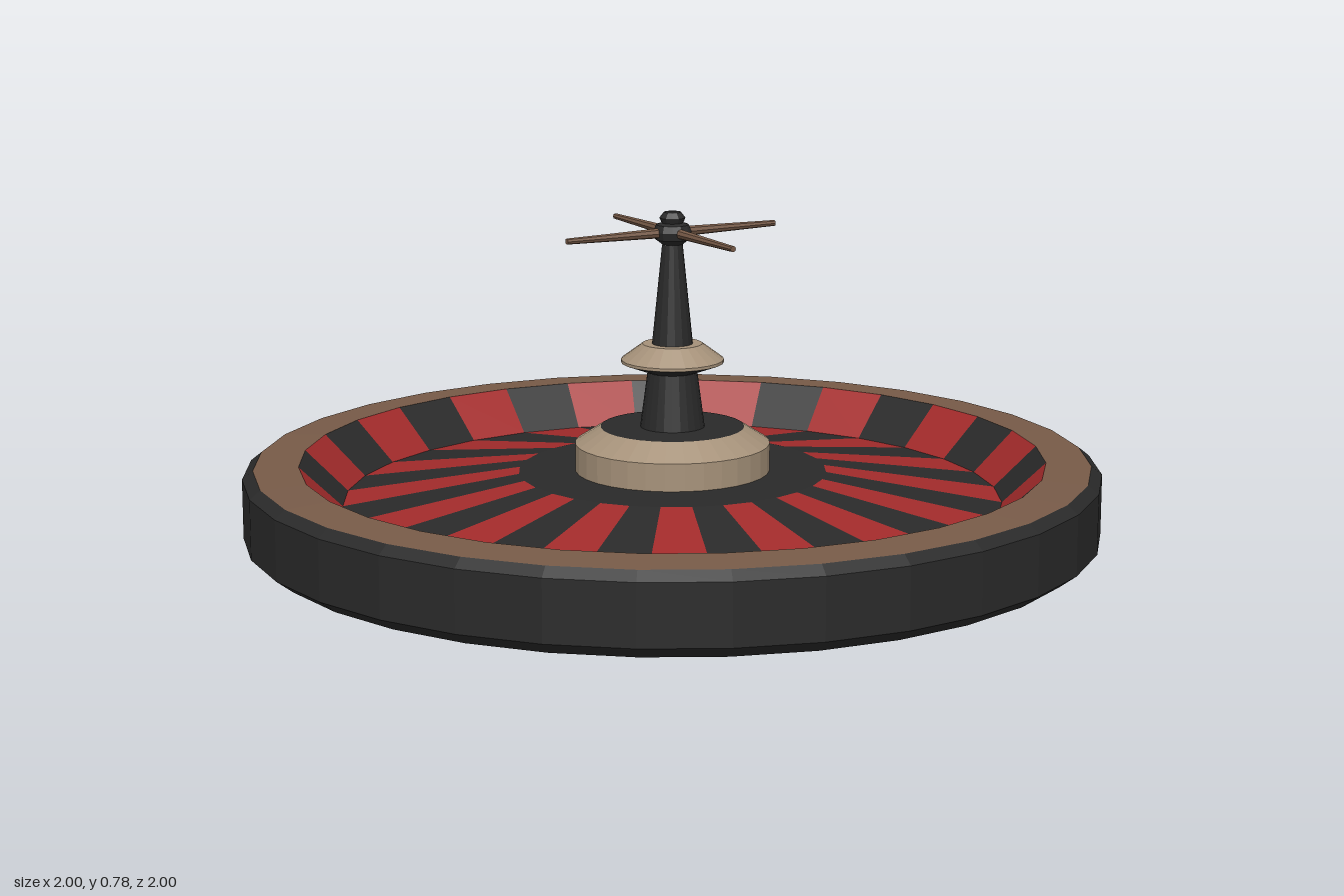
import * as THREE from 'three';
import { mergeGeometries } from 'three/addons/utils/BufferGeometryUtils.js';

const SIDES = 32;
const STEP = (Math.PI * 2) / SIDES;

const material = (color) => new THREE.MeshStandardMaterial({ color, flatShading: true });
const black = material(0x2a2a2a);
const red = material(0xa32b2b);
const wood = material(0x785b48);
const tan = material(0xa6927a);

// Turned profile given as [radius, height] pairs; upward means outward-facing
function turned(points, sides = SIDES, start = 0, sweep = Math.PI * 2) {
  return new THREE.LatheGeometry(points.map(([r, y]) => new THREE.Vector2(r, y)), sides, start, sweep);
}

export function createModel() {
  const model = new THREE.Group();
  const add = (name, geometry, mat, parent = model) => {
    const mesh = new THREE.Mesh(geometry, mat);
    mesh.name = name;
    parent.add(mesh);
    return mesh;
  };

  // Bowl with chamfered lower and upper edges, and its wooden rim
  add('bowl', turned([[0, 0], [0.96, 0], [1, 0.03], [1, 0.17], [0.975, 0.19]]), black);
  add('woodenRim', turned([[0.975, 0.19], [0.87, 0.196]]), wood);

  // Alternating sectors: sloped pocket wall and conical number field, colours swapped
  const redWall = [], blackWall = [], redField = [], blackField = [];
  for (let i = 0; i < SIDES; i++) {
    const wall = turned([[0.87, 0.196], [0.77, 0.1]], 1, i * STEP, STEP);
    const field = turned([[0.77, 0.1], [0.36, 0.165]], 1, i * STEP, STEP);
    (i % 2 ? blackWall : redWall).push(wall);
    (i % 2 ? redField : blackField).push(field);
  }
  add('redPocketWalls', mergeGeometries(redWall), red);
  add('blackPocketWalls', mergeGeometries(blackWall), black);
  add('redFields', mergeGeometries(redField), red);
  add('blackFields', mergeGeometries(blackField), black);
  add('innerDisc', turned([[0.36, 0.165], [0.2, 0.168]]), black);

  // Hub
  add('hubBase', turned([[0.228, 0.16], [0.228, 0.232], [0.168, 0.27]]), tan);
  add('hubTop', turned([[0.168, 0.27], [0.07, 0.27]]), black);

  // Spindle with its collar
  add('lowerSpindle', turned([[0.076, 0.265], [0.058, 0.4], [0.12, 0.423]], 24), black);
  add('collar', turned([[0.12, 0.423], [0.12, 0.43], [0.07, 0.467], [0.04, 0.467]], 24), tan);
  add('upperSpindle', turned([[0.048, 0.465], [0.024, 0.7]], 16), black);
  add('knob', turned([
    [0.024, 0.7], [0.04, 0.712], [0.044, 0.73], [0.038, 0.746],
    [0.025, 0.75], [0.03, 0.762], [0.02, 0.775], [0, 0.777],
  ], 12), black);

  // Four tapered handles
  const handles = new THREE.Group();
  handles.name = 'handles';
  handles.position.y = 0.728;
  model.add(handles);
  for (let i = 0; i < 4; i++) {
    const geometry = new THREE.CylinderGeometry(0.007, 0.012, 0.255, 8);
    geometry.rotateZ(-Math.PI / 2).translate(0.1475, 0, 0).rotateY((i * Math.PI) / 2);
    add('handle', geometry, wood, handles);
  }
  return model;
}
